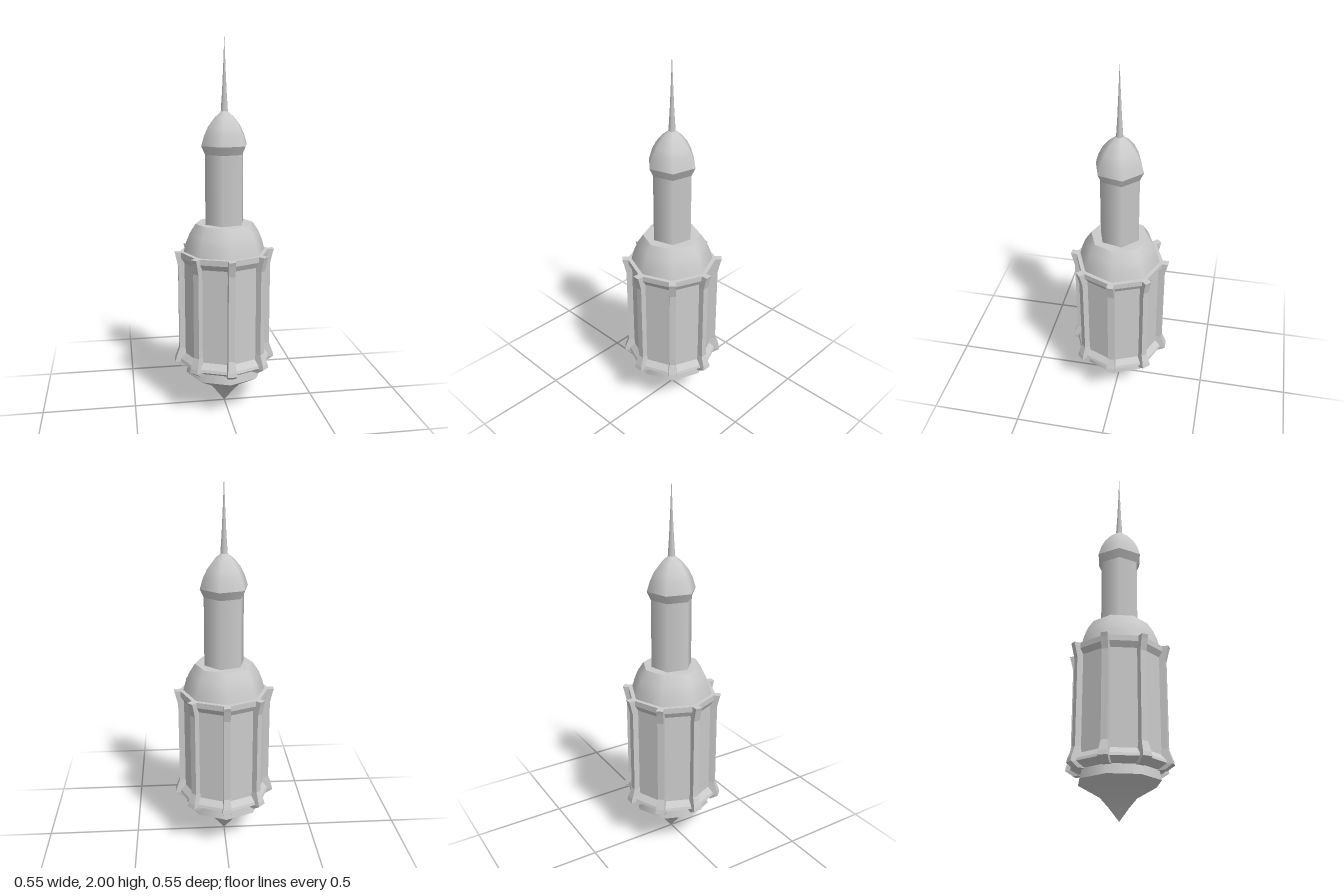
import * as THREE from 'three';

const material = new THREE.MeshStandardMaterial({ color: 0xcccccc });
const DEG = Math.PI / 180;

// Faceted surface of revolution, profile given bottom to top as [radius, y]
function turned(name, sides, profile, { turn = 0, flat = false } = {}) {
  const points = profile.map(([r, y]) => new THREE.Vector2(r, y));
  let geometry = new THREE.LatheGeometry(points, sides, turn * DEG);
  if (flat) {
    geometry = geometry.toNonIndexed();
    geometry.computeVertexNormals();
  }
  const mesh = new THREE.Mesh(geometry, material);
  mesh.name = name;
  return mesh;
}

// Vertical rib: a box whose rows follow [y, outer radius, half width]
function ribGeometry() {
  const rows = [
    [0.235, 0.235, 0.021],
    [0.262, 0.275, 0.025],
    [0.285, 0.27, 0.023],
    [0.34, 0.25, 0.017],
    [0.8, 0.25, 0.017],
    [0.86, 0.264, 0.018],
    [0.88, 0.27, 0.018],
  ];
  const n = rows.length - 1;
  const box = new THREE.BoxGeometry(1, 1, 1, 1, n, 1);
  const p = box.attributes.position;
  for (let i = 0; i < p.count; i++) {
    const [y, outer, half] = rows[Math.round((p.getY(i) + 0.5) * n)];
    p.setXYZ(i, Math.sign(p.getX(i)) * half, y, p.getZ(i) > 0 ? outer : 0.2);
  }
  const geometry = box.toNonIndexed();
  geometry.computeVertexNormals();
  return geometry;
}

export function createModel() {
  const model = new THREE.Group();
  model.name = 'hangingTurret';
  const flat = { flat: true };
  const hex = { turn: 46.7 };

  // Pointed base and its collar
  model.add(turned('basePoint', 8, [[0, 0.005], [0.055, 0.075], [0.1, 0.125], [0.213, 0.19]]));
  model.add(turned('baseCollar', 8, [[0.213, 0.19], [0.203, 0.24]]));

  // Octagonal room with lower and upper mouldings
  model.add(turned('lowerMoulding', 8,
    [[0.2, 0.24], [0.215, 0.24], [0.257, 0.265], [0.252, 0.28], [0.225, 0.31]], flat));
  model.add(turned('roomWall', 8, [[0.225, 0.31], [0.225, 0.82]], flat));
  model.add(turned('upperMoulding', 8,
    [[0.225, 0.82], [0.243, 0.85], [0.243, 0.88], [0.2, 0.88]], flat));

  // Corner ribs
  const ribs = new THREE.Group();
  ribs.name = 'cornerRibs';
  const ribShape = ribGeometry();
  for (let i = 0; i < 8; i++) {
    const rib = new THREE.Mesh(ribShape, material);
    rib.name = 'cornerRib';
    rib.rotation.y = i * 45 * DEG;
    ribs.add(rib);
  }
  model.add(ribs);

  // Rounded shoulder with a flat top
  model.add(turned('shoulder', 8, [[0.22, 0.88], [0.207, 0.93], [0.187, 0.98], [0.155, 1.03]]));
  model.add(turned('shoulderTop', 8, [[0.155, 1.03], [0, 1.03]]));

  // Six-sided upper shaft, eaves and domed roof
  model.add(turned('shaft', 6, [[0.111, 1.03], [0.111, 1.4]], hex));
  model.add(turned('eaves', 6, [[0.111, 1.4], [0.132, 1.445]], hex));
  model.add(turned('roof', 6,
    [[0.132, 1.445], [0.115, 1.5], [0.092, 1.545], [0.055, 1.59], [0.018, 1.62], [0, 1.625]], hex));

  // Needle spire
  model.add(turned('spire', 6, [[0.019, 1.615], [0.012, 1.72], [0.006, 1.85], [0, 2]], { turn: 30 }));

  return model;
}
